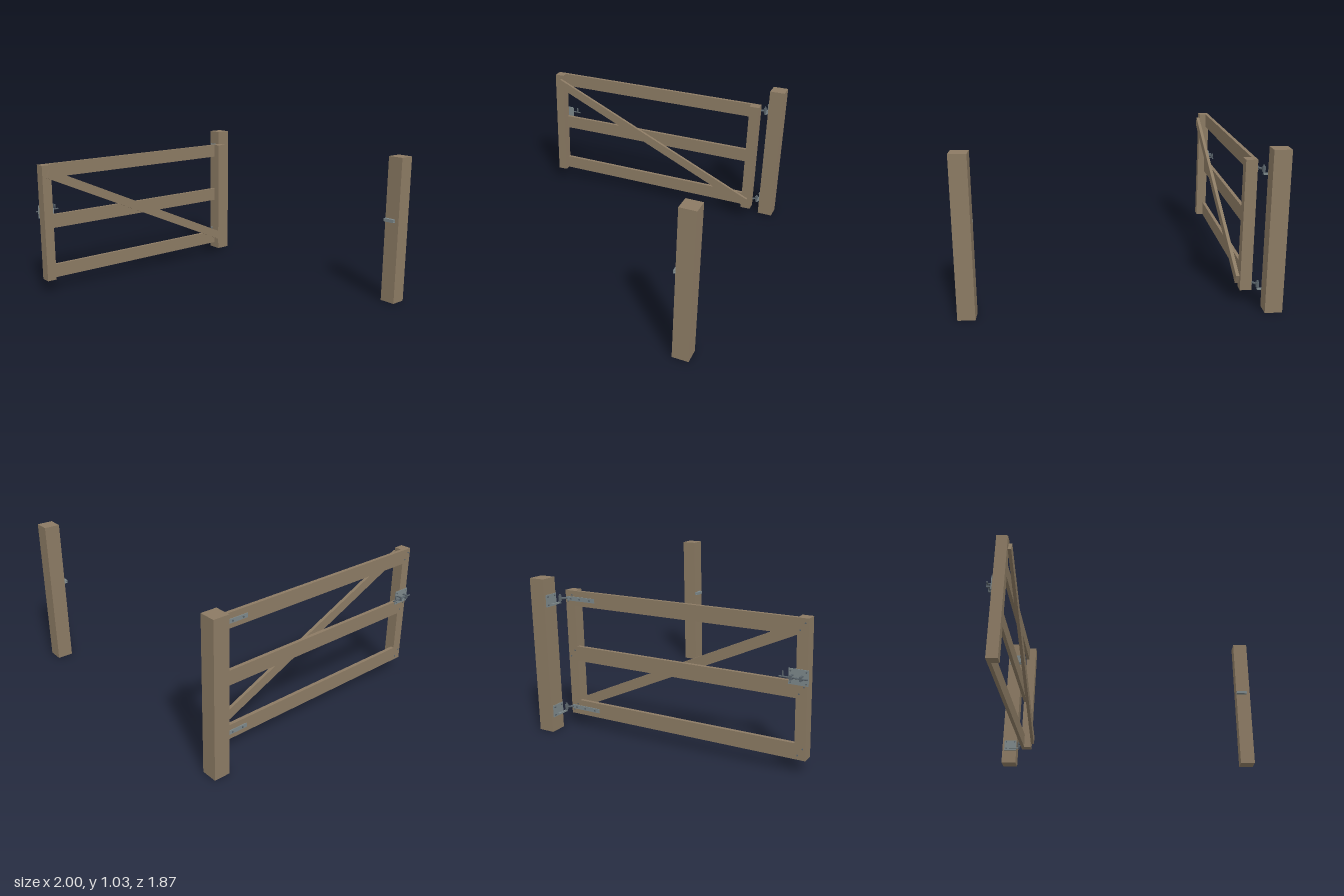
import * as THREE from 'three';

export function createModel() {
  const model = new THREE.Group();
  const mat = (name, color) => {
    const m = new THREE.MeshStandardMaterial({ color });
    m.name = name;
    return m;
  };
  const wood = mat('weathered wood', 0x8b7a63);
  const steel = mat('galvanised steel', 0x7c8789);
  const dark = mat('dark steel', 0x59636a);

  const add = (parent, name, geo, material) => {
    const mesh = new THREE.Mesh(geo, material);
    mesh.name = name;
    parent.add(mesh);
    return mesh;
  };
  // Box given by its extents along each axis
  const block = (parent, name, [x0, x1], [y0, y1], [z0, z1], material) => {
    const mesh = add(parent, name, new THREE.BoxGeometry(x1 - x0, y1 - y0, z1 - z0), material);
    mesh.position.set((x0 + x1) / 2, (y0 + y1) / 2, (z0 + z1) / 2);
    return mesh;
  };
  // Round bar between two points
  const bar = (parent, name, a, b, r, material, sides = 12) => {
    const p = new THREE.Vector3(...a), q = new THREE.Vector3(...b);
    const mesh = add(parent, name, new THREE.CylinderGeometry(r, r, p.distanceTo(q), sides), material);
    mesh.position.copy(p).add(q).multiplyScalar(0.5);
    mesh.quaternion.setFromUnitVectors(new THREE.Vector3(0, 1, 0), q.sub(p).normalize());
    return mesh;
  };
  const group = (name, parent = model) => {
    const g = new THREE.Group();
    g.name = name;
    parent.add(g);
    return g;
  };

  // Posts
  block(model, 'hingePost', [-1, -0.89], [0, 1.035], [-0.933, -0.825], wood);
  block(model, 'latchPost', [0.89, 1], [0, 1.035], [-0.933, -0.825], wood);

  // Open gate leaf: stiles, rails and diagonal brace
  const gate = group('gate');
  const outer = -0.837;
  const stiles = [[-0.785, -0.713], [0.85, 0.92]];
  for (const z of stiles) block(gate, 'stile', [outer, -0.763], [0.092, 0.943], z, wood);
  for (const y of [0.092, 0.469, 0.843]) {
    block(gate, 'rail', [outer, -0.813], [y, y + 0.1], [-0.713, 0.85], wood);
    // Bolt heads where the rail meets each stile
    for (const [z0, z1] of stiles)
      for (const s of [0.28, 0.72]) {
        const z = z0 + (z1 - z0) * s, by = y + 0.1 * s;
        bar(gate, 'railBolt', [outer, by, z], [outer - 0.004, by, z], 0.005, dark, 6);
      }
  }
  const brace = add(gate, 'brace', new THREE.BoxGeometry(0.022, 0.065, 1.788), wood);
  brace.position.set(-0.752, 0.518, 0.0675);
  brace.rotation.x = -Math.atan2(0.735, 1.63);

  // Two hinges: post plate, hook, pin, eye and strap
  for (const y of [0.14, 0.89]) {
    const hinge = group('hinge');
    block(hinge, 'hingePlate', [-0.985, -0.891], [y - 0.04, y + 0.04], [-0.825, -0.82], steel);
    for (const x of [-0.97, -0.906])
      for (const dy of [-0.027, 0.027])
        bar(hinge, 'plateBolt', [x, y + dy, -0.82], [x, y + dy, -0.815], 0.006, dark, 6);
    block(hinge, 'hookArm', [-0.945, -0.866], [y - 0.033, y - 0.023], [-0.82, -0.806], steel);
    bar(hinge, 'hookPin', [-0.868, y - 0.033, -0.808], [-0.868, y + 0.028, -0.808], 0.006, dark);
    bar(hinge, 'hingeEye', [-0.868, y - 0.016, -0.808], [-0.868, y + 0.016, -0.808], 0.011, dark, 16);
    bar(hinge, 'eyeShank', [-0.864, y, -0.8], [-0.84, y, -0.77], 0.007, dark);
    block(hinge, 'hingeStrap', [-0.842, outer], [y - 0.014, y + 0.014], [-0.775, -0.555], steel);
    for (const z of [-0.74, -0.67, -0.59])
      bar(hinge, 'strapBolt', [-0.842, y, z], [-0.847, y, z], 0.006, dark, 6);
  }

  // Sliding latch on the outer face of the free end
  const latch = group('latch');
  block(latch, 'latchPlate', [-0.842, outer], [0.55, 0.645], [0.805, 0.928], steel);
  bar(latch, 'latchBolt', [-0.865, 0.597, 0.755], [-0.865, 0.597, 0.932], 0.005, dark);
  bar(latch, 'latchHandle', [-0.865, 0.597, 0.78], [-0.865, 0.632, 0.78], 0.005, dark);
  for (const z of [0.83, 0.89]) {
    for (const y of [0.587, 0.607])
      block(latch, 'stapleArm', [-0.873, -0.842], [y - 0.004, y + 0.004], [z - 0.006, z + 0.006], dark);
    block(latch, 'stapleFace', [-0.875, -0.869], [0.583, 0.611], [z - 0.006, z + 0.006], dark);
  }
  for (const z of [0.818, 0.915])
    for (const y of [0.563, 0.632])
      bar(latch, 'latchScrew', [-0.842, y, z], [-0.846, y, z], 0.005, dark, 6);

  // Square tube keeper on the other post
  const section = new THREE.Shape([[-0.012, -0.011], [0.012, -0.011], [0.012, 0.011], [-0.012, 0.011]]
    .map(([x, y]) => new THREE.Vector2(x, y)));
  section.holes.push(new THREE.Path([[-0.007, -0.006], [-0.007, 0.006], [0.007, 0.006], [0.007, -0.006]]
    .map(([x, y]) => new THREE.Vector2(x, y))));
  const keeper = add(model, 'latchKeeper',
    new THREE.ExtrudeGeometry(section, { depth: 0.08, bevelEnabled: false }), steel);
  keeper.rotation.y = Math.PI / 2;
  keeper.position.set(0.892, 0.594, -0.813);

  return model;
}
